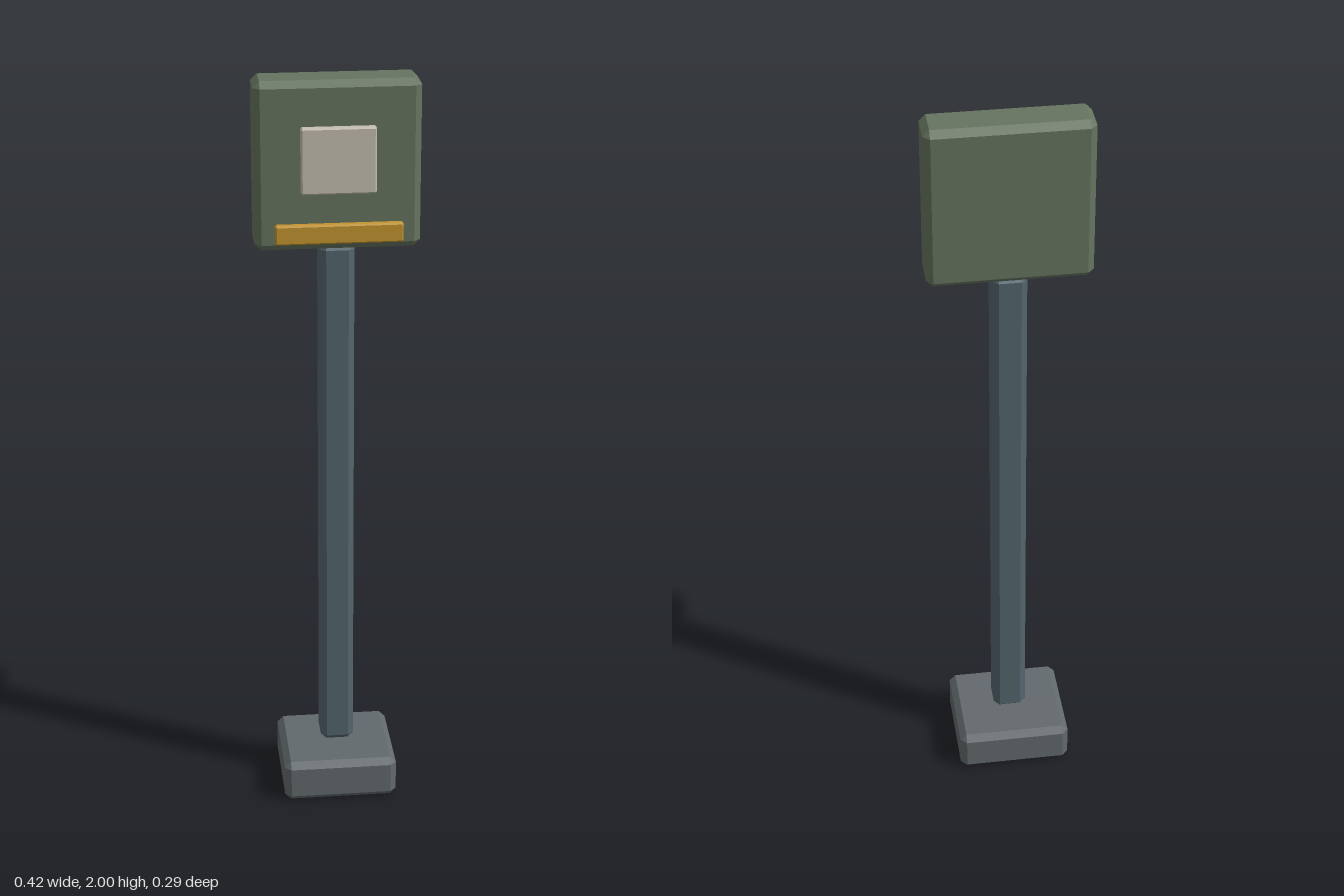
import * as THREE from 'three';
import { ConvexGeometry } from 'three/addons/geometries/ConvexGeometry.js';

// Box with every edge cut by a flat chamfer: each face is inset by b
function chamferBox(w, h, d, b) {
  const half = [w / 2, h / 2, d / 2];
  const points = [];
  for (const sx of [-1, 1]) for (const sy of [-1, 1]) for (const sz of [-1, 1])
    for (let axis = 0; axis < 3; axis++) {
      const p = [sx, sy, sz].map((s, i) => s * (half[i] - (i === axis ? 0 : b)));
      points.push(new THREE.Vector3(...p));
    }
  return new ConvexGeometry(points);
}

export function createModel() {
  const group = new THREE.Group();

  // Adds a chamfered part spanning y0..y1 and z0..z1, centred on x
  function part(name, color, w, [y0, y1], [z0, z1], bevel) {
    const material = new THREE.MeshStandardMaterial({ color, flatShading: true });
    const mesh = new THREE.Mesh(chamferBox(w, y1 - y0, z1 - z0, bevel), material);
    mesh.name = name;
    mesh.position.set(0, (y0 + y1) / 2, (z0 + z1) / 2);
    group.add(mesh);
  }

  // Foot block, with the post floating just above it
  part('base', 0x62696c, 0.308, [0, 0.117], [-0.144, 0.144], 0.017);
  part('post', 0x53656e, 0.09, [0.13, 1.575], [-0.045, 0.045], 0.016);

  // Head box with its front panel and the bar standing off below it
  part('head', 0x66745f, 0.422, [1.565, 2], [-0.058, 0.058], 0.017);
  part('screen', 0xc4beb0, 0.19, [1.717, 1.887], [0.057, 0.081], 0.004);
  part('frontBar', 0xc49530, 0.324, [1.593, 1.643], [0.074, 0.097], 0.004);

  return group;
}
